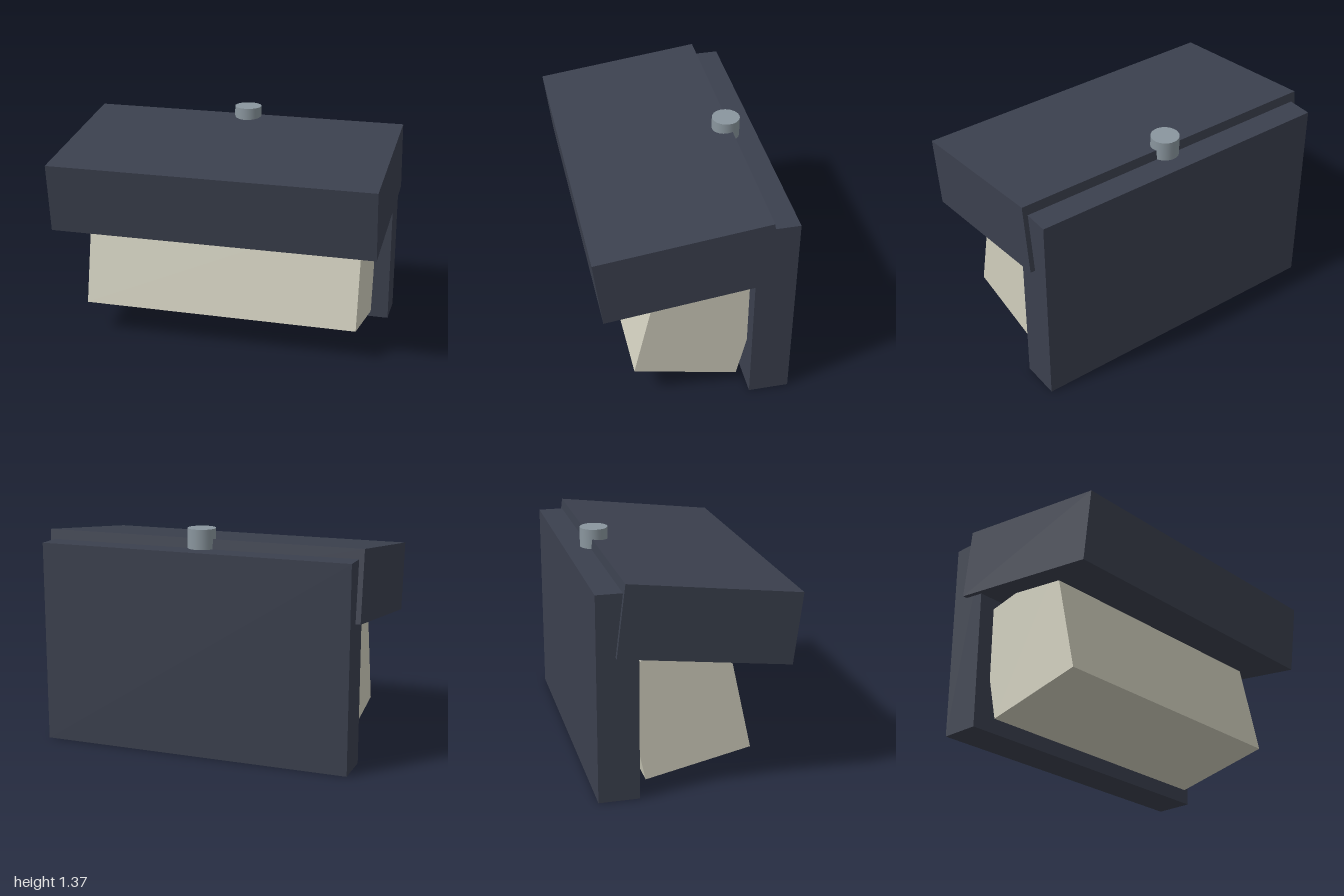
import * as THREE from 'three';

export function createModel() {
  const model = new THREE.Group();
  const material = (name, color) => {
    const m = new THREE.MeshStandardMaterial({ color });
    m.name = name;
    return m;
  };
  const slate = material('dark slate', 0x3b404e);
  const cream = material('cream', 0xd0cebd);
  const steel = material('steel grey', 0x8a969e);

  const add = (name, geometry, mat, y, z, tilt = 0) => {
    const mesh = new THREE.Mesh(geometry, mat);
    mesh.name = name;
    mesh.position.set(0, y, z);
    mesh.rotation.x = tilt;
    model.add(mesh);
  };

  // Upright rear panel
  add('backPanel', new THREE.BoxGeometry(1.94, 1.245, 0.243), slate, 0.6225, -0.47);
  // Overhanging hood, sloping down to the front
  add('hood', new THREE.BoxGeometry(2, 0.43, 1.028), slate, 1.029, 0.055, 0.122);
  // Body leaning back under the hood, its rear corner set into the panel
  add('body', new THREE.BoxGeometry(1.73, 0.727, 0.648), cream, 0.488, -0.052, -0.218);
  // Round knob rising through the rear edge of the hood
  add('knob', new THREE.CylinderGeometry(0.085, 0.085, 0.2, 32), steel, 1.265, -0.405);

  return model;
}
